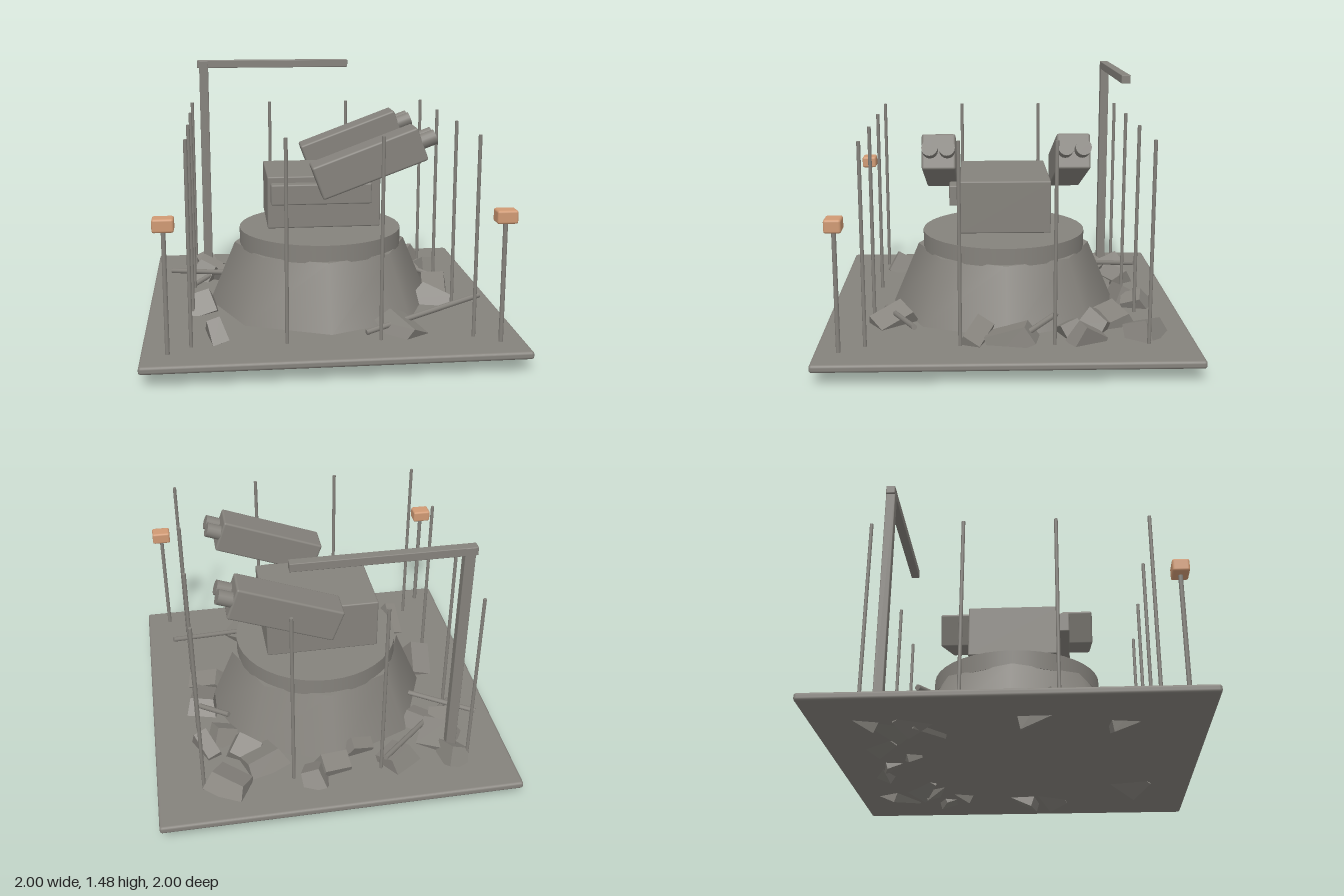
import * as THREE from 'three';
import { RoundedBoxGeometry } from 'three/addons/geometries/RoundedBoxGeometry.js';

export function createModel() {
  const model = new THREE.Group();
  model.name = 'turretEmplacement';
  const concrete = new THREE.MeshStandardMaterial({ name: 'concreteGrey', color: 0x85827c });
  const amber = new THREE.MeshStandardMaterial({ name: 'lampOrange', color: 0xd09a74 });

  const add = (name, geometry, x, y, z, material = concrete, parent = model) => {
    const mesh = new THREE.Mesh(geometry, material);
    mesh.name = name;
    mesh.position.set(x, y, z);
    parent.add(mesh);
    return mesh;
  };
  const block = (w, h, d, r = 0.008) => new RoundedBoxGeometry(w, h, d, 2, r);

  // Rod between two points
  const rod = (from, to) => {
    const dir = to.clone().sub(from);
    const mid = from.clone().lerp(to, 0.5);
    const mesh = add('looseRod', new THREE.CylinderGeometry(0.015, 0.015, dir.length(), 8), mid.x, mid.y, mid.z);
    mesh.quaternion.setFromUnitVectors(new THREE.Vector3(0, 1, 0), dir.normalize());
  };

  // Ground slab
  add('groundSlab', block(2, 0.042, 2, 0.015), 0, 0.115, 0);

  // Eight-sided pedestal and round ring
  add('pedestal', new THREE.CylinderGeometry(0.5, 0.65, 0.355, 8), 0, 0.3125, 0);
  add('pedestalRing', new THREE.CylinderGeometry(0.47, 0.47, 0.1, 40), 0, 0.53, 0);

  // Turret body with side box
  add('turretBody', block(0.635, 0.295, 0.505), 0, 0.775, -0.002);
  add('sideBox', block(0.56, 0.115, 0.07), -0.02, 0.83, 0.275);

  // Tilted launcher pods, each with two tubes
  for (const side of [-1, 1]) {
    const pod = new THREE.Group();
    pod.name = side > 0 ? 'frontLauncher' : 'backLauncher';
    pod.position.set(0.23, 1.02, side * 0.355);
    pod.rotation.z = 0.355;
    model.add(pod);
    add('launcherPod', block(0.61, 0.19, 0.178, 0.012), 0, 0, 0, concrete, pod);
    for (const dz of [-0.045, 0.045]) {
      const tube = new THREE.CylinderGeometry(0.042, 0.042, 0.13, 16);
      add('launchTube', tube, 0.32, 0.005, dz, concrete, pod).rotation.z = Math.PI / 2;
    }
  }

  // Crane post and boom
  add('cranePost', block(0.056, 1.36, 0.052, 0.004), -0.665, 0.815, -0.664);
  add('craneBoom', block(0.95, 0.047, 0.05, 0.004), -0.23, 1.473, -0.664);

  // Perimeter rods
  const steps = [-0.745, -0.248, 0.248, 0.745];
  for (const x of steps) for (const z of steps) {
    if (Math.max(Math.abs(x), Math.abs(z)) > 0.5) {
      add('perimeterRod', new THREE.CylinderGeometry(0.01, 0.01, 1.09, 8), x, 0.675, z);
    }
  }

  // Lamps on posts at the front corners
  for (const x of [-0.86, 0.857]) {
    add('lampPost', new THREE.CylinderGeometry(0.012, 0.012, 0.65, 10), x, 0.475, 0.868);
    add('lamp', block(0.108, 0.07, 0.088, 0.012), x, 0.823, 0.868, amber);
  }

  // Broken rods lying in the rubble
  rod(new THREE.Vector3(-0.89, 0.195, -0.43), new THREE.Vector3(-0.53, 0.23, -0.24));
  rod(new THREE.Vector3(-0.25, 0.28, -0.82), new THREE.Vector3(-0.78, 0.14, -0.24));
  rod(new THREE.Vector3(0.18, 0.155, 0.68), new THREE.Vector3(0.84, 0.275, 0.48));
  rod(new THREE.Vector3(0.56, 0.24, -0.27), new THREE.Vector3(0.73, 0.2, -0.11));

  // Rubble chunk: box with a tapered, skewed top, tilted alternately by its number
  let count = 0;
  const chunk = (x, z, w, d, yaw) => {
    const g = new THREE.BoxGeometry(w, 0.12, d).toNonIndexed();
    const p = g.attributes.position;
    for (let i = 0; i < p.count; i++) {
      if (p.getY(i) > 0) p.setXYZ(i, p.getX(i) * 0.8 + w * 0.04, p.getY(i) + p.getZ(i) * 0.12, p.getZ(i) * 0.85);
    }
    g.computeVertexNormals();
    const pitch = count % 2 ? -0.4 : 0.45;
    const roll = 0.45 * Math.sin(count * 2.3 + 0.5);
    count++;
    add('rubbleChunk', g, x, 0.15, z).rotation.set(pitch, yaw, roll, 'YXZ');
  };
  // Back edge
  chunk(0.60, -0.75, 0.24, 0.16, -0.5);
  chunk(0.01, -0.70, 0.20, 0.12, 0.2);
  chunk(0.13, -0.77, 0.13, 0.14, -0.4);
  chunk(-0.15, -0.58, 0.18, 0.08, 0.2);
  chunk(-0.35, -0.70, 0.19, 0.15, 0.6);
  // Back right pile
  chunk(-0.62, -0.57, 0.20, 0.20, -0.6);
  chunk(-0.67, -0.72, 0.13, 0.16, 0.4);
  chunk(-0.67, -0.47, 0.14, 0.20, -0.4);
  chunk(-0.57, -0.43, 0.22, 0.12, -0.7);
  // Right side and front
  chunk(-0.69, 0.14, 0.15, 0.24, -0.08);
  chunk(0.38, 0.63, 0.16, 0.24, 0.5);
  chunk(-0.62, 0.60, 0.09, 0.25, 0.1);
  // Left side
  chunk(0.69, -0.02, 0.17, 0.26, -0.15);
  chunk(0.65, 0.16, 0.24, 0.12, -0.3);
  chunk(0.60, -0.35, 0.15, 0.12, 0.4);
  chunk(0.70, -0.43, 0.10, 0.19, 0.5);
  chunk(0.40, -0.59, 0.24, 0.18, 0.3);
  chunk(0.49, -0.50, 0.18, 0.15, -0.6);
  return model;
}
